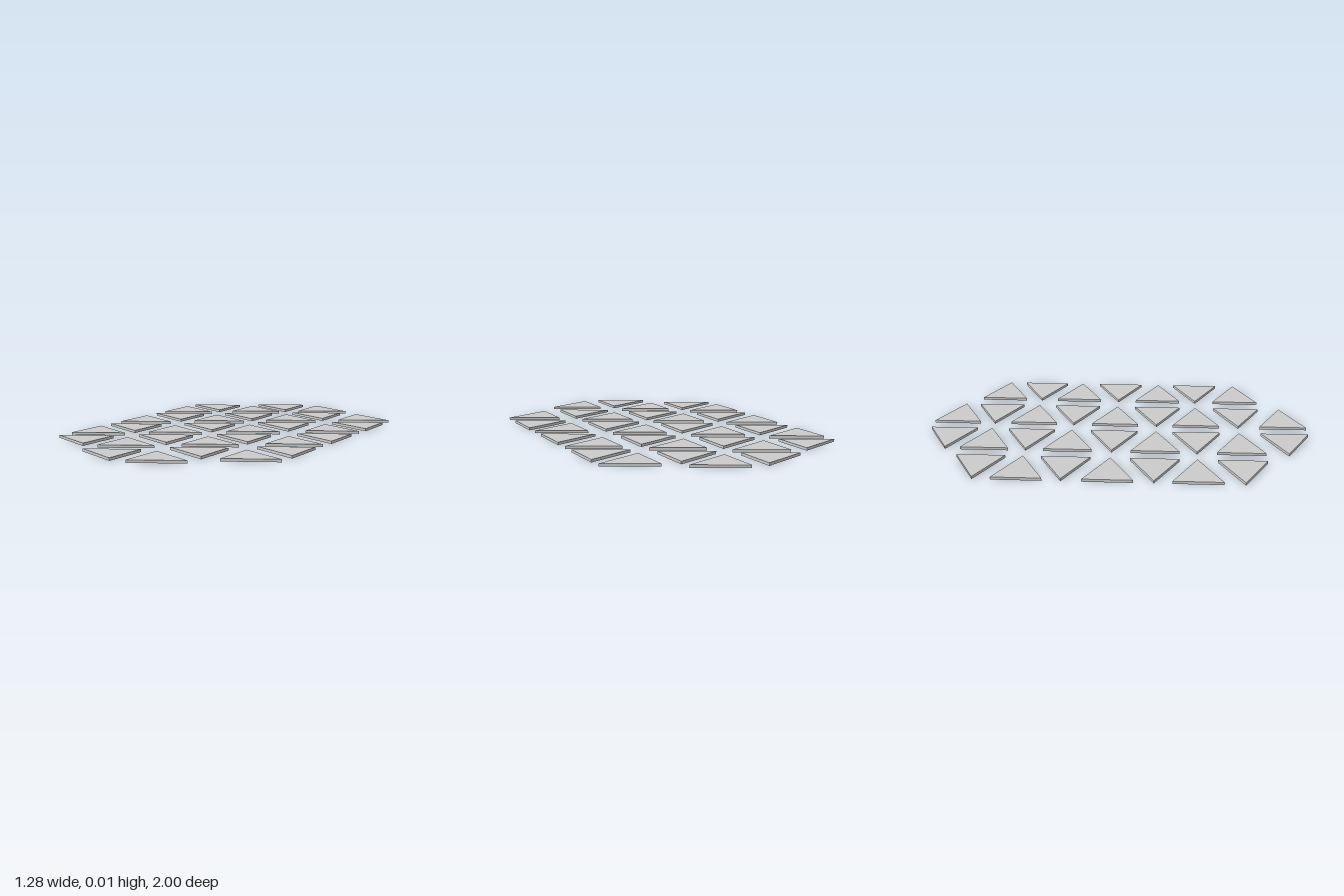
import * as THREE from 'three';

const THICKNESS = 0.014;
const HALF_BASE = 0.124;

// Flat triangular tile; the base lies at baseX and the tip at tipX
function makeTile(baseX, tipX, z, material) {
  const shape = new THREE.Shape([
    new THREE.Vector2(baseX, HALF_BASE),
    new THREE.Vector2(baseX, -HALF_BASE),
    new THREE.Vector2(tipX, 0),
  ]);
  const geometry = new THREE.ExtrudeGeometry(shape, { depth: THICKNESS, bevelEnabled: false });
  geometry.rotateX(-Math.PI / 2);
  const tile = new THREE.Mesh(geometry, material);
  tile.position.z = z;
  return tile;
}

export function createModel() {
  const model = new THREE.Group();
  model.name = 'triangleTiles';
  const material = new THREE.MeshStandardMaterial({ color: 0xcccccc, flatShading: true });

  // Row centres from back to front
  const rows = [-0.876, -0.674, -0.461, -0.246, -0.022, 0.2, 0.412, 0.637, 0.875];

  // Columns: x range, rows used, and which way the even rows point
  const columns = [
    { name: 'outerRightColumn', min: -0.64, max: -0.39, first: 1, last: 7, evenTip: 1 },
    { name: 'innerRightColumn', min: -0.301, max: -0.051, first: 0, last: 8, evenTip: -1 },
    { name: 'innerLeftColumn', min: 0.039, max: 0.289, first: 0, last: 8, evenTip: 1 },
    { name: 'outerLeftColumn', min: 0.389, max: 0.64, first: 1, last: 7, evenTip: -1 },
  ];

  for (const { name, min, max, first, last, evenTip } of columns) {
    const column = new THREE.Group();
    column.name = name;
    for (let i = first; i <= last; i++) {
      // Neighbouring tiles point in opposite directions
      const tip = i % 2 === 0 ? evenTip : -evenTip;
      const tile = tip > 0
        ? makeTile(min, max, rows[i], material)
        : makeTile(max, min, rows[i], material);
      tile.name = `tile${i}`;
      column.add(tile);
    }
    model.add(column);
  }
  return model;
}
